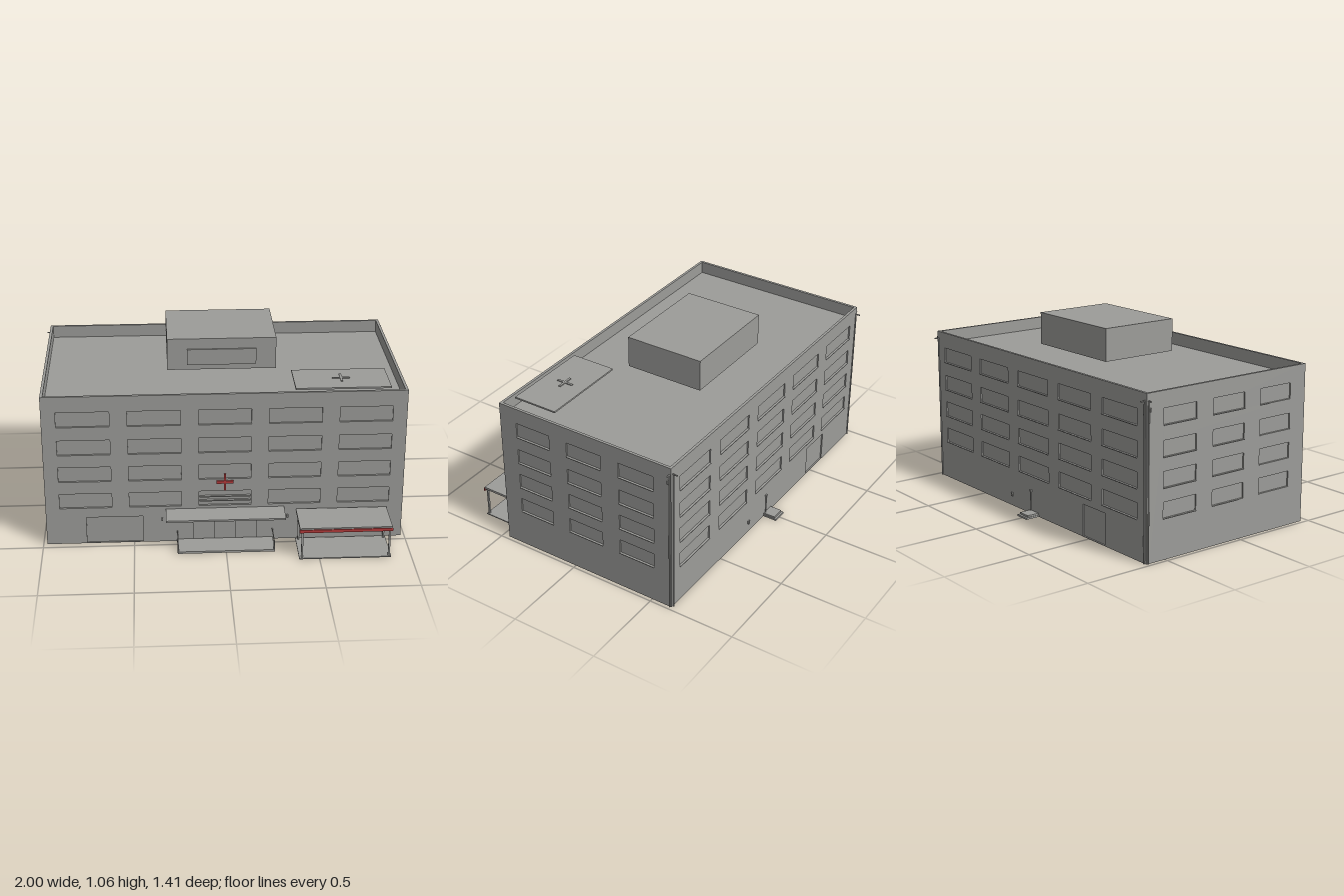
import * as THREE from 'three';

const grey = new THREE.MeshStandardMaterial({ color: 0x9c9c99 });
grey.name = 'concreteGrey';
const greySheet = new THREE.MeshStandardMaterial({ color: 0x9c9c99, side: THREE.DoubleSide });
greySheet.name = 'paneGrey';
const red = new THREE.MeshStandardMaterial({ color: 0xb23a3a });
red.name = 'signalRed';

const T = 0.015;                       // wall thickness
const H = 0.88;                        // wall height
const FRONT = 0.46, BACK = -0.62, SIDE = 0.98;
const ROWS = [0.22, 0.38, 0.54, 0.705]; // window sill heights
const WIN_H = 0.085;

// box given by its limits on each axis
function box(parent, name, x0, x1, y0, y1, z0, z1, mat = grey) {
  const m = new THREE.Mesh(new THREE.BoxGeometry(x1 - x0, y1 - y0, z1 - z0), mat);
  m.position.set((x0 + x1) / 2, (y0 + y1) / 2, (z0 + z1) / 2);
  m.name = name;
  parent.add(m);
  return m;
}

function rod(parent, name, a, b, r) {
  const p = new THREE.Vector3(...a), q = new THREE.Vector3(...b);
  const d = q.clone().sub(p);
  const m = new THREE.Mesh(new THREE.CylinderGeometry(r, r, d.length(), 8), grey);
  m.position.copy(p).add(q).multiplyScalar(0.5);
  m.quaternion.setFromUnitVectors(new THREE.Vector3(0, 1, 0), d.normalize());
  m.name = name;
  parent.add(m);
}

// wall facing local +z, with recessed windows, sills and doors [u0, u1, height]
function wall(name, width, centres, winW, doors) {
  const g = new THREE.Group();
  g.name = name;
  const w = width / 2;
  const shape = new THREE.Shape([[-w, 0], [w, 0], [w, H], [-w, H]].map(p => new THREE.Vector2(...p)));
  const opening = (u0, u1, v0, v1, label) => {
    shape.holes.push(new THREE.Path([[u0, v0], [u0, v1], [u1, v1], [u1, v0]].map(p => new THREE.Vector2(...p))));
    const pane = new THREE.Mesh(new THREE.PlaneGeometry(u1 - u0, v1 - v0), greySheet);
    pane.position.set((u0 + u1) / 2, (v0 + v1) / 2, -T / 2);
    pane.name = label;
    g.add(pane);
  };
  for (const y of ROWS) for (const c of centres) {
    opening(c - winW / 2, c + winW / 2, y, y + WIN_H, 'windowPane');
    box(g, 'windowSill', c - winW / 2, c + winW / 2, y - 0.004, y, -T / 2, 0.005);
  }
  for (const [u0, u1, h] of doors) opening(u0, u1, 0.004, h, 'door');
  const body = new THREE.Mesh(new THREE.ExtrudeGeometry(shape, { depth: T, bevelEnabled: false }), grey);
  body.position.z = -T;
  body.name = 'wallPanel';
  g.add(body);
  return g;
}

// upright cross on a front face
function wallCross(parent, y, z) {
  box(parent, 'crossUpright', -0.006, 0.006, y - 0.05, y + 0.05, z, z + 0.009, red);
  box(parent, 'crossBar', -0.047, 0.047, y - 0.008, y + 0.008, z, z + 0.008, red);
}

export function createModel() {
  const root = new THREE.Group();
  root.name = 'hospital';
  const longCentres = [-0.76, -0.38, 0, 0.38, 0.76];
  const shortCentres = [-0.326, 0, 0.326];

  // four walls, open at the bottom
  const front = wall('frontWall', SIDE * 2, longCentres, 0.285,
    [[-0.76, -0.45, 0.16], [-0.175, -0.06, 0.172], [0.06, 0.175, 0.172]]);
  front.position.z = FRONT;
  const back = wall('backWall', SIDE * 2, longCentres, 0.285, [[0.45, 0.64, 0.18]]);
  back.position.z = BACK;
  back.rotation.y = Math.PI;
  root.add(front, back);
  for (const s of [1, -1]) {
    const side = wall(s > 0 ? 'leftWall' : 'rightWall', FRONT - BACK - 2 * T, shortCentres, 0.215, []);
    side.position.set(s * SIDE, 0, (FRONT + BACK) / 2);
    side.rotation.y = s * Math.PI / 2;
    root.add(side);
  }

  // sunken roof, plant room and raised landing pad
  box(root, 'roof', -SIDE + T, SIDE - T, 0.8, 0.81, BACK + T, FRONT - T);
  box(root, 'plantRoom', -0.3, 0.3, 0.88, 1.06, -0.35, 0.11);
  box(root, 'plantRoomPanel', -0.19, 0.19, 0.91, 1.0, 0.11, 0.119);
  box(root, 'landingPad', 0.38, 0.895, 0.877, 0.886, 0.16, 0.42);
  box(root, 'padCrossLong', 0.59, 0.685, 0.886, 0.891, 0.283, 0.295);
  box(root, 'padCrossShort', 0.632, 0.644, 0.886, 0.891, 0.24, 0.335);

  // red cross and louvres over the entrance
  wallCross(root, 0.36, FRONT);
  for (const y of [0.248, 0.273]) box(root, 'louvre', -0.14, 0.14, y - 0.003, y + 0.003, FRONT - T / 2, FRONT + 0.006);

  // entrance: sloping canopy, platform, rails and lamps
  const canopy = box(root, 'entranceCanopy', -0.325, 0.325, 0.185, 0.195, FRONT, 0.59);
  const pos = canopy.geometry.attributes.position;
  for (let i = 0; i < pos.count; i++) if (pos.getZ(i) < 0) pos.setY(i, pos.getY(i) + 0.006);
  canopy.geometry.computeVertexNormals();
  box(root, 'entrancePlatform', -0.265, 0.265, 0, 0.012, FRONT, 0.605);
  for (const s of [1, -1]) {
    const x = s * 0.262;
    rod(root, 'railPost', [x, 0.01, 0.6], [x, 0.063, 0.6], 0.003);
    rod(root, 'railPost', [x, 0.01, 0.588], [x, 0.063, 0.588], 0.003);
    rod(root, 'handrail', [x, 0.063, FRONT], [x, 0.063, 0.602], 0.003);
    box(root, 'wallLamp', s * 0.345 - 0.004, s * 0.345 + 0.004, 0.132, 0.15, FRONT, FRONT + 0.009);
  }

  // vehicle bay shelter with red fascia
  box(root, 'bayFloor', 0.39, 0.89, 0, 0.006, 0.47, 0.698);
  box(root, 'bayRoof', 0.39, 0.89, 0.175, 0.188, 0.47, 0.698);
  box(root, 'bayFascia', 0.388, 0.892, 0.163, 0.18, 0.696, 0.703, red);
  for (const x of [0.405, 0.878]) for (const z of [0.487, 0.686])
    box(root, 'bayPost', x - 0.005, x + 0.005, 0.006, 0.176, z - 0.005, z + 0.005);

  // rear step, standpipe and valve
  box(root, 'rearStep', -0.038, 0.038, 0, 0.02, -0.69, BACK);
  box(root, 'rearStepEdge', -0.042, 0.042, 0, 0.01, -0.703, BACK);
  rod(root, 'standpipe', [0.025, 0.01, BACK - 0.005], [0.025, 0.13, BACK - 0.005], 0.003);
  box(root, 'standpipeCap', 0.018, 0.032, 0.13, 0.14, BACK - 0.01, BACK);
  box(root, 'wallValve', 0.204, 0.218, 0.057, 0.077, BACK - 0.009, BACK);

  // downpipes and brackets at the rear corners
  for (const s of [1, -1]) {
    rod(root, 'rearDownpipe', [s * 0.965, 0, BACK - 0.004], [s * 0.965, 0.84, BACK - 0.004], 0.004);
    rod(root, 'sideDownpipe', [s * 0.982, 0, -0.61], [s * 0.982, 0.84, -0.61], 0.004);
    rod(root, 'rearBracket', [s * 0.965, 0.84, BACK], [s * 0.965, 0.84, -0.648], 0.004);
    rod(root, 'sideBracket', [s * 0.975, 0.84, -0.61], [s * 1.0, 0.84, -0.61], 0.004);
    box(root, 'pipeClip', s * 0.984 - 0.006, s * 0.984 + 0.006, 0.785, 0.805, -0.608, -0.6);
  }
  return root;
}
